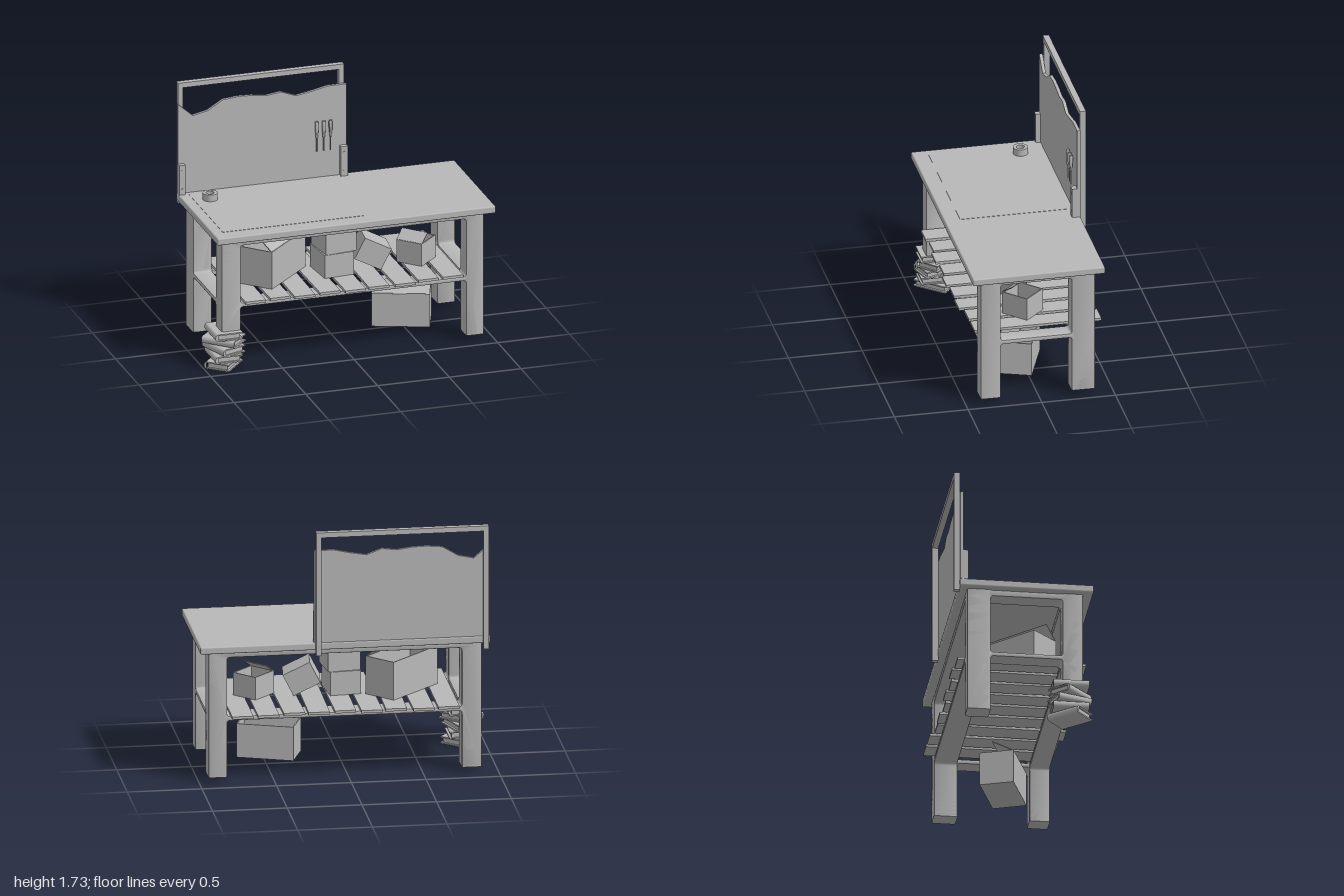
import * as THREE from 'three';
import { toCreasedNormals } from 'three/addons/utils/BufferGeometryUtils.js';
import { RoundedBoxGeometry } from 'three/addons/geometries/RoundedBoxGeometry.js';

const grey = new THREE.MeshStandardMaterial({ color: 0xb8b8b8 });
grey.name = 'plain grey';

function add(parent, name, geometry, x = 0, y = 0, z = 0) {
  const mesh = new THREE.Mesh(geometry, grey);
  mesh.name = name;
  mesh.position.set(x, y, z);
  parent.add(mesh);
  return mesh;
}

// Box given by its limits on each axis, optionally with rounded edges
function block(parent, name, [x0, x1], [y0, y1], [z0, z1], r = 0) {
  const s = [x1 - x0, y1 - y0, z1 - z0];
  const g = r ? new RoundedBoxGeometry(...s, 2, r) : new THREE.BoxGeometry(...s);
  return add(parent, name, g, (x0 + x1) / 2, (y0 + y1) / 2, (z0 + z1) / 2);
}

function group(parent, name, x = 0, y = 0, z = 0, yaw = 0) {
  const g = new THREE.Group();
  g.name = name;
  g.position.set(x, y, z);
  g.rotation.y = yaw;
  parent.add(g);
  return g;
}

// Two legs joined by a top rail and a shelf rail, with rounded openings
function legFrame([a, b, c, d], footA, footD, thickness) {
  const r = 0.02, top = 0.91, apron = 0.865, railTop = 0.459, railLow = 0.427, bevel = 0.01;
  const s = new THREE.Shape();
  s.moveTo(a, footA);
  s.lineTo(b, footA);
  s.lineTo(b, railLow - r);
  s.quadraticCurveTo(b, railLow, b + r, railLow);
  s.lineTo(c - r, railLow);
  s.quadraticCurveTo(c, railLow, c, railLow - r);
  s.lineTo(c, footD);
  s.lineTo(d, footD);
  s.lineTo(d, top);
  s.lineTo(a, top);
  s.closePath();
  const h = new THREE.Path();
  h.moveTo(b + r, railTop);
  h.quadraticCurveTo(b, railTop, b, railTop + r);
  h.lineTo(b, apron - r);
  h.quadraticCurveTo(b, apron, b + r, apron);
  h.lineTo(c - r, apron);
  h.quadraticCurveTo(c, apron, c, apron - r);
  h.lineTo(c, railTop + r);
  h.quadraticCurveTo(c, railTop, c - r, railTop);
  s.holes.push(h);
  const g = new THREE.ExtrudeGeometry(s, {
    depth: thickness - 2 * bevel, bevelThickness: bevel, bevelSize: bevel,
    bevelOffset: -bevel, bevelSegments: 2, curveSegments: 5,
  });
  g.translate(0, 0, bevel);
  return toCreasedNormals(g, 0.6);
}

// Open carton with one flap leaning inwards over the front wall
function openBox(parent, name, x, y, z, [w, h, d], yaw, flapIn, flapUp) {
  const t = 0.008, g = group(parent, name, x, y, z, yaw);
  block(g, 'boxFloor', [-w / 2, w / 2], [0, t], [-d / 2, d / 2]);
  for (const s of [-1, 1]) {
    add(g, 'boxEnd', new THREE.BoxGeometry(t, h, d), s * (w - t) / 2, h / 2, 0);
    add(g, 'boxWall', new THREE.BoxGeometry(w, h, t), 0, h / 2, s * (d - t) / 2);
  }
  const len = Math.hypot(flapIn, flapUp);
  const flap = add(g, 'boxFlap', new THREE.BoxGeometry(w, len, 0.006).translate(0, len / 2, 0), 0, h, d / 2 - 0.004);
  flap.rotation.x = -Math.atan2(flapIn, flapUp);
}

// Hardback book: two covers, page block and rounded spine
function book(parent, y, w, d, yaw) {
  const h = 0.05, t = 0.009, g = group(parent, 'book', -0.85, y, 0.315, yaw);
  for (const cy of [t / 2, h - t / 2]) add(g, 'cover', new THREE.BoxGeometry(w - 0.02, t, d), 0.01, cy, 0);
  add(g, 'pages', new THREE.BoxGeometry(w - 0.04, h - 2 * t, d - 0.024), 0.005, h / 2, 0);
  const spine = new THREE.CylinderGeometry(h / 2, h / 2, d, 16, 1, false, Math.PI, Math.PI);
  spine.rotateX(Math.PI / 2).scale(0.8, 1, 1);
  add(g, 'spine', spine, -w / 2 + 0.02, h / 2, 0);
}

export function createModel() {
  const model = new THREE.Group();
  model.name = 'workbench';

  // Table top with a flush work mat
  block(model, 'tableTop', [-0.94, 1], [0.91, 0.96], [-0.43, 0.465], 0.01);
  block(model, 'workMat', [-0.87, 0.11], [0.958, 0.962], [-0.37, 0.36]);

  // Leg frames; the front right-hand leg is cut short and stands on books
  const xs = [-0.89, -0.757, 0.813, 0.937], zs = [-0.375, -0.217, 0.263, 0.4];
  const foot = 0.037, short = 0.268;
  add(model, 'frontFrame', legFrame(xs, short, foot, zs[3] - zs[2]), 0, 0, zs[2]);
  add(model, 'backFrame', legFrame(xs, foot, foot, zs[1] - zs[0]), 0, 0, zs[0]);
  add(model, 'leftFrame', legFrame(zs, foot, foot, xs[3] - xs[2]), xs[3]).rotation.y = -Math.PI / 2;
  add(model, 'rightFrame', legFrame(zs, foot, short, xs[1] - xs[0]), xs[1]).rotation.y = -Math.PI / 2;

  // Shelf slats, laid a little unevenly
  const shifts = [0.01, -0.005, 0.015, 0, 0.02, 0.005, 0.012, -0.018, -0.02];
  shifts.forEach((dz, i) => {
    const slat = add(model, 'shelfSlat', new THREE.BoxGeometry(0.142, 0.018, 0.86), -0.665 + i * 0.173, 0.468, dz);
    slat.rotation.y = i < 7 ? 0.012 * Math.sin(i * 2.3) : 0;
  });

  // Back frame of the tool board
  for (const x of [-0.925, 0.195]) block(model, 'boardPost', [x, x + 0.035], [0.88, 1.735], [-0.468, -0.427]);
  block(model, 'boardTopRail', [-0.925, 0.23], [1.7, 1.735], [-0.468, -0.427]);

  // Tool board with a broken upper edge
  const edge = [[0.24, 1.6], [0.107, 1.6], [0.01, 1.578], [-0.112, 1.557], [-0.215, 1.596], [-0.315, 1.583],
    [-0.42, 1.597], [-0.515, 1.6], [-0.62, 1.59], [-0.727, 1.525], [-0.83, 1.503], [-0.935, 1.595]];
  const board = new THREE.Shape([[-0.935, 0.96], [0.24, 0.96], ...edge].map(p => new THREE.Vector2(...p)));
  add(model, 'toolBoard', new THREE.ExtrudeGeometry(board, { depth: 0.022, bevelEnabled: false }), 0, 0, -0.427);
  for (const [x0, x1] of [[-0.935, -0.893], [0.19, 0.24]]) {
    block(model, 'boardBracket', [x0, x1], [0.96, 1.17], [-0.406, -0.372]);
    for (const y of [1.0, 1.13]) {
      add(model, 'bracketScrew', new THREE.CylinderGeometry(0.006, 0.006, 0.004, 10).rotateX(Math.PI / 2), (x0 + x1) / 2, y, -0.371);
    }
  }

  // Screwdrivers hanging on the board
  const profile = [[0, 1.15], [0.004, 1.15], [0.004, 1.245], [0.008, 1.25], [0.008, 1.27], [0.012, 1.295],
    [0.013, 1.35], [0.01, 1.362], [0, 1.362]].map(p => new THREE.Vector2(...p));
  for (const x of [0.028, 0.077, 0.124]) {
    add(model, 'screwdriver', toCreasedNormals(new THREE.LatheGeometry(profile, 12), 0.6), x, 0, -0.389);
  }

  // Roll of tape
  const ring = [[0.027, 0], [0.05, 0], [0.05, 0.048], [0.027, 0.048], [0.027, 0]].map(p => new THREE.Vector2(...p));
  add(model, 'tapeRoll', toCreasedNormals(new THREE.LatheGeometry(ring, 28), 0.6), -0.763, 0.961, -0.24);

  // Cartons on the shelf and below it
  openBox(model, 'largeBox', -0.41, 0.477, 0.02, [0.475, 0.263, 0.235], 0.77, 0.1, 0.09);
  openBox(model, 'smallBox', 0.58, 0.477, 0.04, [0.19, 0.157, 0.2], -0.8, 0.08, 0.054);
  openBox(model, 'floorBox', 0.478, 0.055, 0.043, [0.387, 0.233, 0.23], -0.356, 0.14, 0.075);
  add(model, 'lowerStackedBox', new THREE.BoxGeometry(0.21, 0.163, 0.25), -0.012, 0.559, 0.06).rotation.y = 0.09;
  add(model, 'upperStackedBox', new THREE.BoxGeometry(0.22, 0.158, 0.24), 0, 0.721, 0.06).rotation.y = 0.12;
  add(model, 'leaningBox', new THREE.BoxGeometry(0.2, 0.16, 0.2), 0.258, 0.594, 0.05).rotation.set(0, -0.12, -0.47);

  // Stack of books under the short leg
  [[0.18, 0.24, -0.72], [0.19, 0.24, 0], [0.18, 0.24, 0.33], [0.18, 0.24, 0.8], [0.19, 0.24, 0]]
    .forEach(([w, d, yaw], i) => book(model, 0.003 + i * 0.053, w, d, yaw));

  return model;
}
